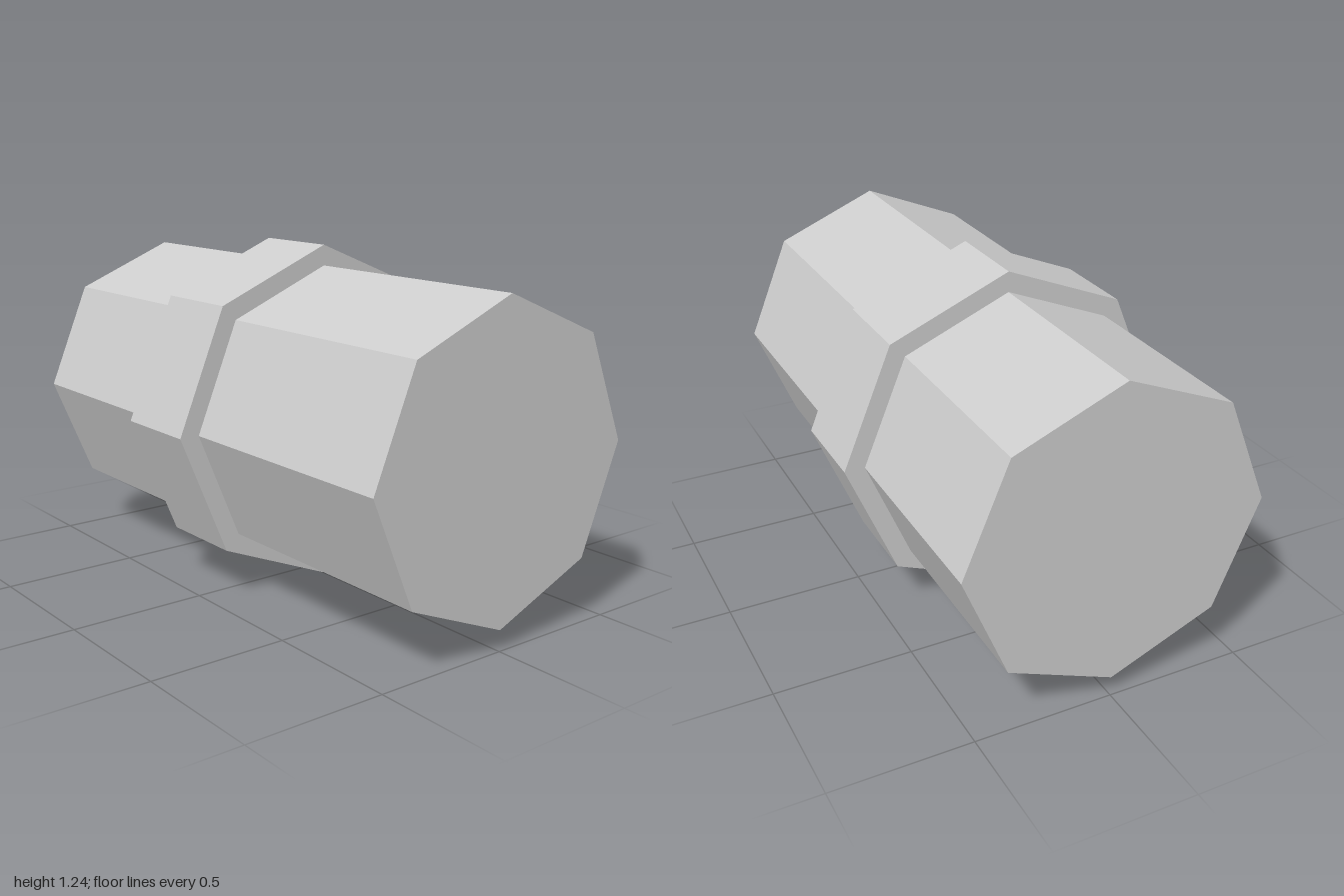
import * as THREE from 'three';

export function createModel() {
  const group = new THREE.Group();
  const grey = new THREE.MeshStandardMaterial({ color: 0xcccccc, flatShading: true });
  grey.name = 'light grey';

  // Octagonal prism lying along x, with a corner pointing up
  function prism(name, radius, x0, x1) {
    const geometry = new THREE.CylinderGeometry(radius, radius, x1 - x0, 8);
    geometry.rotateZ(-Math.PI / 2);
    const mesh = new THREE.Mesh(geometry, grey);
    mesh.name = name;
    mesh.position.set((x0 + x1) / 2, 0.618, 0);
    group.add(mesh);
  }

  prism('barrel', 0.544, -1, 1);
  prism('collar', 0.618, -0.246, 0.087); // raised band, off centre

  return group;
}
